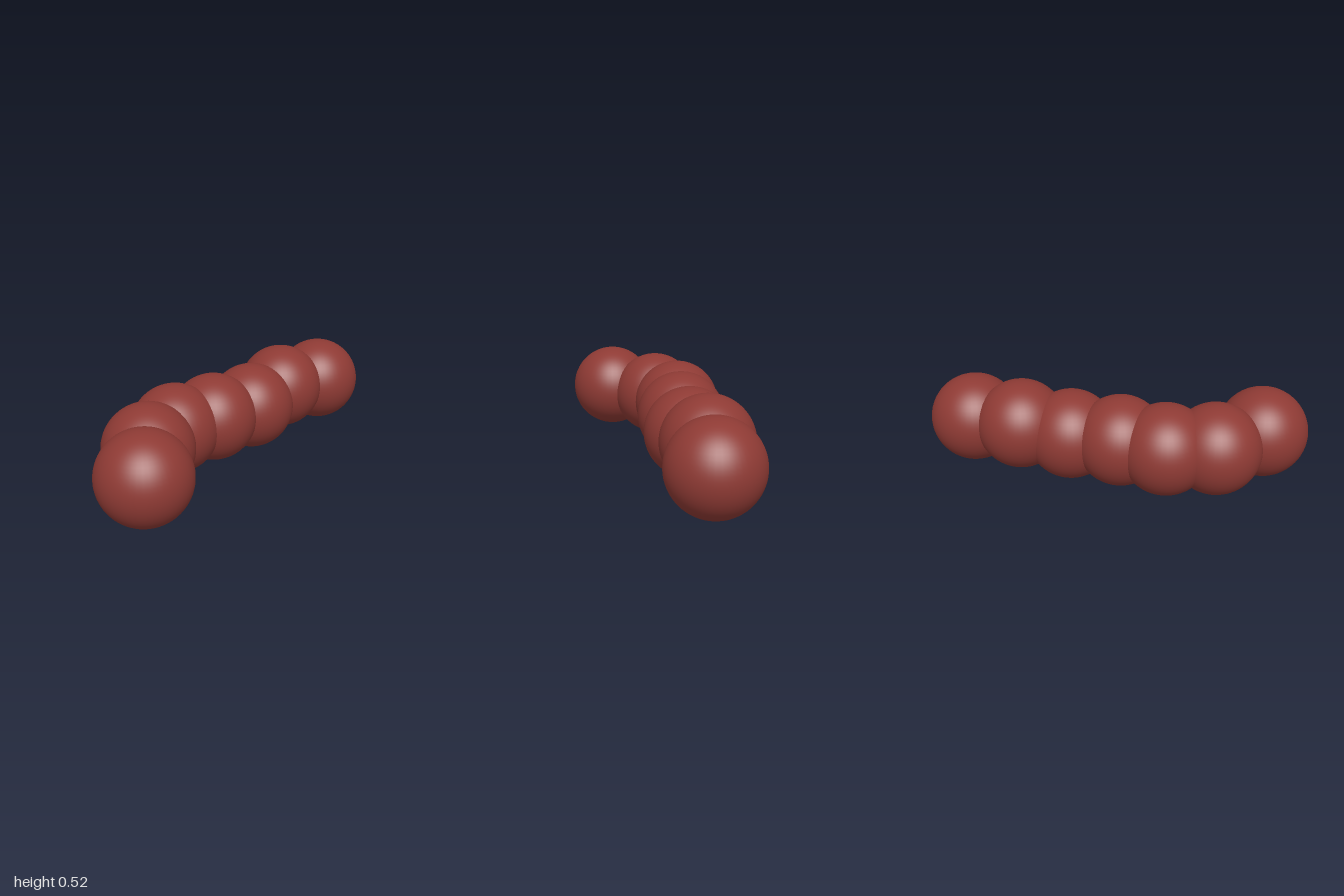
import * as THREE from 'three';

const RADIUS = 0.243;

// Segment centres along the curved body, from one end to the other
const CENTRES = [
  [-0.757, 0.265, 0.232],
  [-0.58, 0.257, -0.03],
  [-0.345, 0.261, -0.146],
  [-0.092, 0.257, -0.149],
  [0.19, 0.244, -0.17],
  [0.46, 0.279, -0.232],
  [0.757, 0.257, -0.23],
];

export function createModel() {
  const model = new THREE.Group();
  model.name = 'segmentedBody';
  const material = new THREE.MeshStandardMaterial({ color: 0x8e3a34 });
  const geometry = new THREE.SphereGeometry(RADIUS, 48, 32);

  // Overlapping equal balls form the chain
  CENTRES.forEach((centre, i) => {
    const segment = new THREE.Mesh(geometry, material);
    segment.name = `bodySegment${i + 1}`;
    segment.position.set(...centre);
    model.add(segment);
  });
  return model;
}
